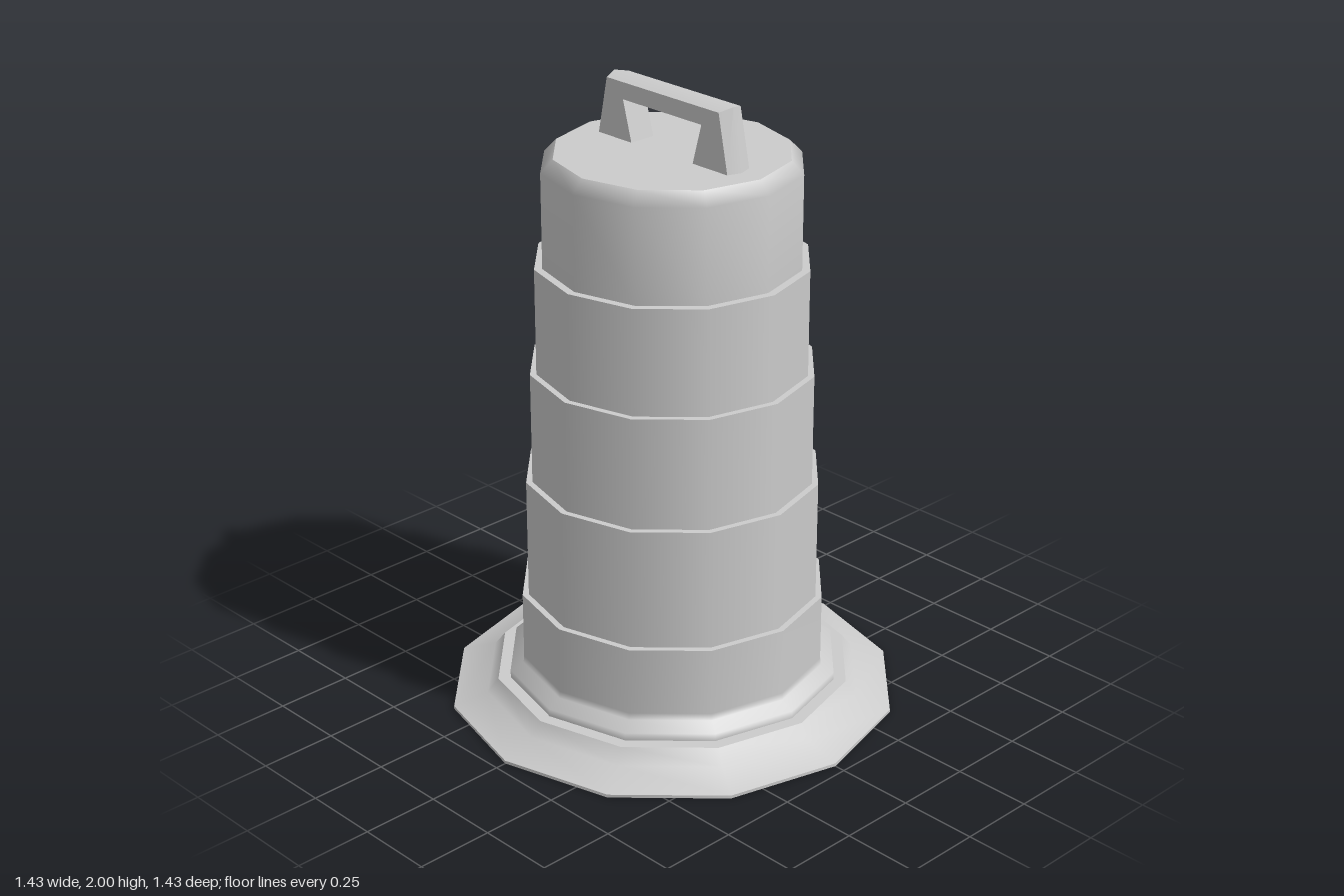
import * as THREE from 'three';
import { toCreasedNormals } from 'three/addons/utils/BufferGeometryUtils.js';

const SIDES = 12;
const material = new THREE.MeshStandardMaterial({ color: 0xcccccc });

export function createModel() {
  const model = new THREE.Group();
  model.name = 'trafficDrum';

  // Twelve-sided ring, smooth along its profile; separate rings meet at sharp edges
  function ring(name, parent, ...profile) {
    const points = profile.map(([r, y]) => new THREE.Vector2(r, y));
    const mesh = new THREE.Mesh(new THREE.LatheGeometry(points, SIDES), material);
    mesh.name = name;
    parent.add(mesh);
  }
  function group(name) {
    const g = new THREE.Group();
    g.name = name;
    model.add(g);
    return g;
  }

  // Flared base
  const base = group('base');
  ring('baseUnderside', base, [0.5, 0], [0.715, 0]);
  ring('baseRim', base, [0.715, 0], [0.715, 0.01]);
  ring('baseSkirt', base, [0.715, 0.01], [0.605, 0.045], [0.57, 0.09]);
  ring('baseLedge', base, [0.57, 0.09], [0.53, 0.09]);

  // Stepped body: each tier is a little narrower than the one below
  const body = group('body');
  const radii = [0.485, 0.465, 0.445, 0.425, 0.4];
  const tops = [0.38, 0.77, 1.13, 1.47, 1.77];
  ring('collarTier', body, [0.53, 0.09], [0.53, 0.115], [0.488, 0.138], [radii[0], 0.16], [radii[0], tops[0]]);
  for (let i = 1; i < radii.length; i++) {
    ring('step', body, [radii[i - 1], tops[i - 1]], [radii[i], tops[i - 1]]);
    const profile = [[radii[i], tops[i - 1]], [radii[i], tops[i]]];
    if (i === radii.length - 1) profile.push([0.362, 1.81]); // bevelled shoulder
    ring('tier', body, ...profile);
  }
  ring('lid', body, [0.362, 1.81], [0, 1.81]);

  // Hollow inside, open at the bottom
  const inside = group('inside');
  ring('insideCeiling', inside, [0, 1.76], [0.365, 1.76]);
  ring('insideWall', inside, [0.365, 1.76], [0.47, 0.12], [0.5, 0]);

  // Handle: an arch whose outer side rises to a ridge along the middle
  const half = 0.045;
  const arch = new THREE.Shape([
    [-0.287, 1.81], [-0.13, 1.81], [-0.165, 1.937], [0.165, 1.937],
    [0.13, 1.81], [0.287, 1.81], [0.25, 2], [-0.25, 2],
  ].map(([x, y]) => new THREE.Vector2(x, y)));
  const geometry = new THREE.ExtrudeGeometry(arch, { depth: 2 * half, steps: 2, bevelEnabled: false });
  geometry.translate(0, 0, -half);
  const p = geometry.attributes.position;
  for (let i = 0; i < p.count; i++) {
    const x = p.getX(i);
    if (Math.abs(x) < 0.2 || Math.abs(p.getZ(i)) < 0.01) continue;
    p.setX(i, x - Math.sign(x) * 0.015);
    if (p.getY(i) > 1.9) p.setY(i, p.getY(i) - 0.01);
  }
  const handle = new THREE.Mesh(toCreasedNormals(geometry, 0.7), material);
  handle.name = 'handle';
  model.add(handle);

  return model;
}
